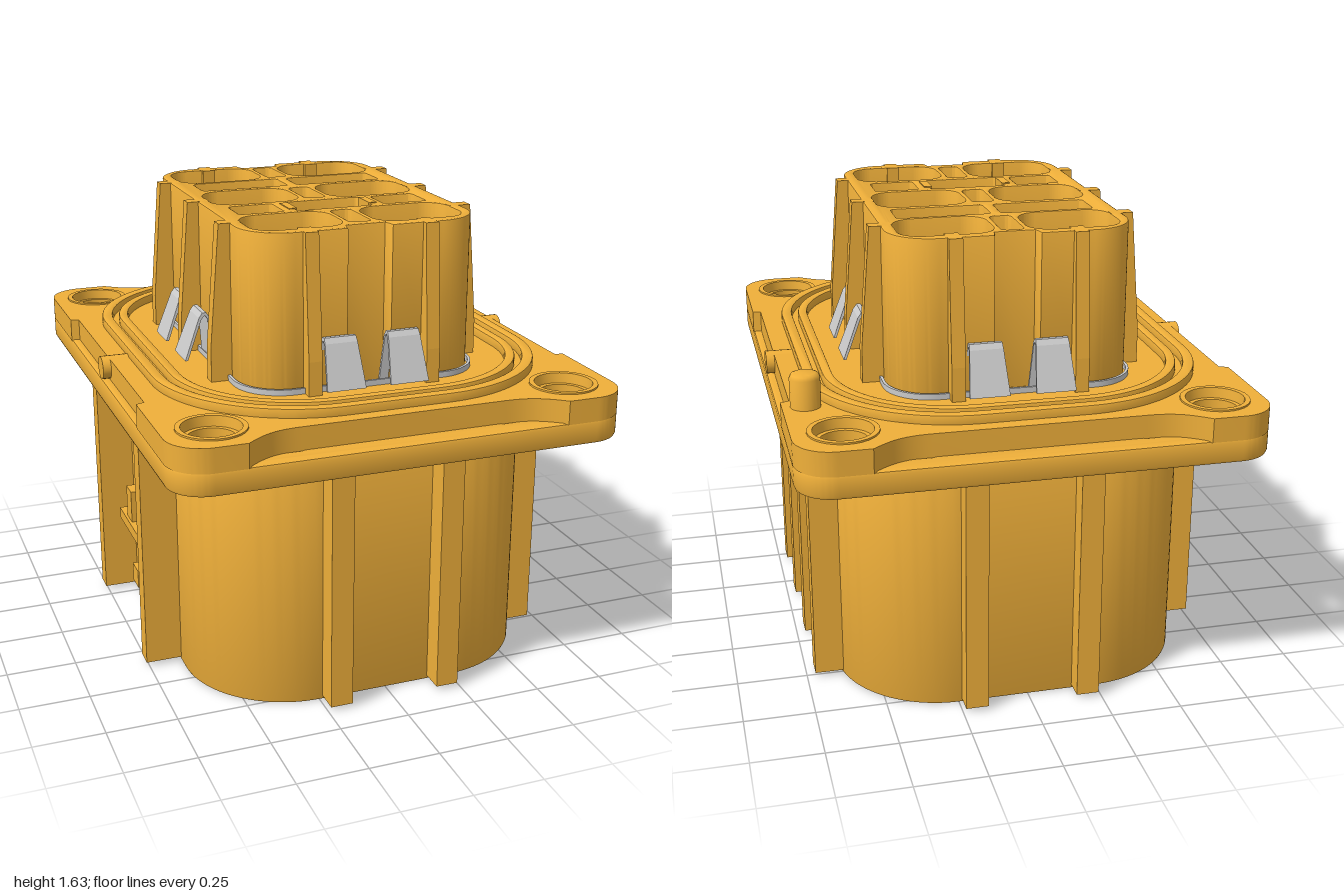
import * as THREE from 'three';
import { toCreasedNormals } from 'three/addons/utils/BufferGeometryUtils.js';

const amber = new THREE.MeshStandardMaterial({ color: 0xf0b03a });
const metal = new THREE.MeshStandardMaterial({ color: 0xcccccc, side: THREE.DoubleSide });

// Rounded rectangle in plan, centred on (x, z), with half sizes a and b
function roundRect(a, b, r, x = 0, z = 0, Type = THREE.Shape) {
  const s = new Type(), y = -z;
  s.moveTo(x + a, y - b + r);
  s.lineTo(x + a, y + b - r);
  s.absarc(x + a - r, y + b - r, r, 0, Math.PI / 2);
  s.absarc(x - a + r, y + b - r, r, Math.PI / 2, Math.PI);
  s.absarc(x - a + r, y - b + r, r, Math.PI, Math.PI * 1.5);
  s.absarc(x + a - r, y - b + r, r, Math.PI * 1.5, Math.PI * 2);
  return s;
}
const hole = (a, b, r, x, z) => roundRect(a, b, r, x, z, THREE.Path);

// Raise a plan shape from y0 to y1, with an optional bevel kept inside the outline
function raise(shape, y0, y1, bevel = 0) {
  const g = new THREE.ExtrudeGeometry(shape, {
    depth: y1 - y0 - 2 * bevel, curveSegments: 14, bevelEnabled: bevel > 0,
    bevelSize: bevel, bevelOffset: -bevel, bevelThickness: bevel, bevelSegments: 2,
  });
  g.rotateX(-Math.PI / 2).translate(0, y0 + bevel, 0);
  return toCreasedNormals(g, 0.6);
}

// Extrude an (outward, height) profile, centred on its width
function sweep(points, width) {
  const g = new THREE.ExtrudeGeometry(new THREE.Shape(points.map(p => new THREE.Vector2(...p))),
    { depth: width, bevelEnabled: false });
  return g.translate(0, 0, -width / 2);
}

export function createModel() {
  const model = new THREE.Group();
  const add = (name, geo, mat = amber, parent = model) => {
    const m = new THREE.Mesh(geo, mat);
    m.name = name;
    parent.add(m);
    return m;
  };
  const box = (name, x0, x1, y0, y1, z0, z1) =>
    add(name, new THREE.BoxGeometry(x1 - x0, y1 - y0, z1 - z0)
      .translate((x0 + x1) / 2, (y0 + y1) / 2, (z0 + z1) / 2));
  const corners = [[1, 1], [1, -1], [-1, 1], [-1, -1]];
  const cells = [-0.44, -0.01, 0.43].flatMap(z => [[-0.22, z], [0.22, z]]);

  // Mounting flange: full lower plate, upper plate relieved along each edge
  const lower = roundRect(0.8, 1, 0.13);
  const upper = new THREE.Shape();
  upper.moveTo(0.77, -0.52);
  upper.lineTo(0.77, 0.52);
  upper.lineTo(0.8, 0.53);
  upper.lineTo(0.8, 0.87);
  upper.absarc(0.67, 0.87, 0.13, 0, Math.PI / 2);
  upper.lineTo(0.56, 1);
  upper.bezierCurveTo(0.5, 0.95, 0.46, 0.92, 0.36, 0.92);
  upper.lineTo(-0.36, 0.92);
  upper.bezierCurveTo(-0.46, 0.92, -0.5, 0.95, -0.56, 1);
  upper.lineTo(-0.67, 1);
  upper.absarc(-0.67, 0.87, 0.13, Math.PI / 2, Math.PI);
  upper.lineTo(-0.8, 0.53);
  upper.lineTo(-0.77, 0.52);
  upper.lineTo(-0.77, -0.52);
  upper.lineTo(-0.8, -0.53);
  upper.lineTo(-0.8, -0.87);
  upper.absarc(-0.67, -0.87, 0.13, Math.PI, Math.PI * 1.5);
  upper.lineTo(-0.56, -1);
  upper.bezierCurveTo(-0.5, -0.95, -0.46, -0.92, -0.36, -0.92);
  upper.lineTo(0.36, -0.92);
  upper.bezierCurveTo(0.46, -0.92, 0.5, -0.95, 0.56, -1);
  upper.lineTo(0.67, -1);
  upper.absarc(0.67, -0.87, 0.13, Math.PI * 1.5, Math.PI * 2);
  upper.lineTo(0.8, -0.53);
  for (const [sx, sz] of corners) {
    for (const s of [lower, upper]) {
      s.holes.push(new THREE.Path().absarc(sx * 0.63, sz * 0.83, 0.115, 0, Math.PI * 2));
    }
    // Small pockets in the underside
    lower.holes.push(hole(0.045, 0.028, 0.005, sx * 0.4, sz * 0.885));
  }
  for (const [x, z] of cells) upper.holes.push(hole(0.165, 0.125, 0.08, x, z));
  add('flangeLower', raise(lower, 0.915, 1.0, 0.012));
  add('flangeUpper', raise(upper, 0.995, 1.08));

  // Stepped bushings in the bolt holes
  const bush = [[0.08, 0.915], [0.118, 0.915], [0.118, 1.086], [0.1, 1.086], [0.096, 1.05],
    [0.08, 1.05], [0.08, 0.915]].map(p => new THREE.Vector2(...p));
  for (const [sx, sz] of corners) {
    add('boltHole', toCreasedNormals(new THREE.LatheGeometry(bush, 32), 0.5))
      .position.set(sx * 0.63, 0, sz * 0.83);
  }

  // Oval rims with a seal groove between them
  const band = (o, i, length, r, y0, y1, bevel) => {
    const s = roundRect(o, o + length, r);
    s.holes.push(hole(i, i + length, r - o + i));
    return raise(s, y0, y1, bevel);
  };
  add('outerRim', band(0.7, 0.66, 0.17, 0.52, 1.06, 1.112, 0.006));
  add('innerRim', band(0.635, 0.6, 0.17, 0.455, 1.06, 1.112, 0.006));

  // Lower shell, open underneath, with vertical ribs
  add('shell', band(0.63, 0.59, 0.17, 0.38, 0.005, 0.93, 0.008));
  for (const z of [-0.475, -0.16, 0.16, 0.475]) {
    box('leftRib', 0.6, 0.72, 0.02, 0.93, z - 0.04, z + 0.04);
  }
  for (const z of [-0.33, 0.33]) box('rightRib', -0.76, -0.6, 0.02, 0.93, z - 0.035, z + 0.035);
  for (const x of [-0.2, 0.2]) {
    box('frontRib', x - 0.04, x + 0.04, 0.02, 0.93, 0.77, 0.885);
    box('backRib', x - 0.04, x + 0.04, 0.02, 0.93, -0.87, -0.77);
  }

  // Small retaining bracket on the right wall
  box('bracketShelf', -0.74, -0.61, 0.42, 0.46, -0.06, 0.22);
  box('bracketPost', -0.73, -0.68, 0.46, 0.58, 0.02, 0.09);
  box('bracketFoot', -0.7, -0.61, 0.15, 0.22, -0.06, 0.02);
  box('bracketHook', -0.72, -0.61, 0.18, 0.34, 0.2, 0.25);

  // Locating pin and side ridges
  add('locatingPin', toCreasedNormals(new THREE.LatheGeometry(
    [[0, 0.99], [0.052, 0.99], [0.052, 1.182], [0.046, 1.194], [0.036, 1.198], [0, 1.198]]
      .map(p => new THREE.Vector2(...p)), 24), 0.9)).position.set(0.72, 0, -0.58);
  for (const s of [-1, 1]) {
    add('sideRidge', new THREE.CylinderGeometry(0.042, 0.042, 0.13, 20).rotateZ(Math.PI / 2))
      .position.set(s * 0.735, 1.045, 0);
  }

  // Contact tower: rounded block, notched at front and back, with its openings
  const tower = new THREE.Shape();
  const [a, b, r] = [0.425, 0.605, 0.16];
  tower.moveTo(a, -b + r);
  tower.absarc(a - r, b - r, r, 0, Math.PI / 2);
  for (const p of [[0.08, b], [0.07, 0.56], [-0.07, 0.56], [-0.08, b]]) tower.lineTo(...p);
  tower.absarc(-a + r, b - r, r, Math.PI / 2, Math.PI);
  tower.absarc(-a + r, -b + r, r, Math.PI, Math.PI * 1.5);
  for (const p of [[-0.08, -b], [-0.07, -0.56], [0.07, -0.56], [0.08, -b]]) tower.lineTo(...p);
  tower.absarc(a - r, -b + r, r, Math.PI * 1.5, Math.PI * 2);
  for (const [x, z] of cells) tower.holes.push(hole(0.163, 0.124, 0.08, x, z));
  for (const z of [-0.44, -0.01, 0.42]) tower.holes.push(hole(0.038, 0.1, 0.02, 0, z));
  // Pockets as x, z, half width, half depth, floor height
  const pockets = [[-0.185, -0.23, 0.165, 0.068, 1.35], [0.185, -0.23, 0.165, 0.068, 1.35],
    [-0.27, 0.21, 0.08, 0.068, 1.35], [0.27, 0.21, 0.08, 0.068, 1.35], [0, 0.21, 0.14, 0.074, 1.5]];
  for (const [x, z, w, d, y] of pockets) {
    tower.holes.push(hole(w, d, 0.015, x, z));
    box('pocketFloor', x - w - 0.005, x + w + 0.005, y - 0.04, y, z - d - 0.005, z + d + 0.005);
  }
  add('tower', raise(tower, 1.0, 1.632, 0.006));
  for (const s of [-1, 1]) box('latchTab', s * 0.15 - 0.015, s * 0.15 + 0.015, 1.5, 1.635, 0.16, 0.26);

  // Cell liners above, hanging sleeves below
  for (const [x, z] of cells) {
    const liner = roundRect(0.164, 0.125, 0.08, x, z);
    liner.holes.push(hole(0.14, 0.118, 0.115, x, z));
    add('cellLiner', raise(liner, 1.0, 1.42));
    const sleeve = roundRect(0.19, 0.15, 0.1, x, z);
    sleeve.holes.push(hole(0.163, 0.124, 0.08, x, z));
    add('lowerSleeve', raise(sleeve, 0.17, 0.93, 0.006));
  }
  box('lowerSpine', -0.035, 0.035, 0.3, 0.93, -0.5, 0.5);
  for (const z of [-0.23, 0.21]) box('lowerWeb', -0.36, 0.36, 0.35, 0.93, z - 0.025, z + 0.025);
  const latch = roundRect(0.15, 0.08, 0.015, 0, 0.21);
  for (const x of [-0.07, 0.07]) latch.holes.push(hole(0.05, 0.045, 0.01, x, 0.21));
  add('lowerLatch', raise(latch, 0.18, 0.6));

  // Metal screen around the lower sleeves
  const screen = roundRect(0.44, 0.625, 0.17);
  screen.holes.push(hole(0.43, 0.615, 0.16));
  add('screen', raise(screen, 0.22, 1.1), metal);

  // Tower guide ribs and folded spring fingers, placed around the tower
  const ribProfile = [[-0.04, 1.07], [0.075, 1.07], [0.075, 1.2], [0.04, 1.632], [-0.04, 1.632]];
  const ribGeo = sweep(ribProfile, 0.048);
  const springGeo = sweep([[0.0, 1.08], [0.015, 1.25], [0.027, 1.268], [0.042, 1.268], [0.055, 1.25],
    [0.112, 1.1], [0.102, 1.1], [0.046, 1.245], [0.036, 1.256], [0.03, 1.256], [0.024, 1.245],
    [0.01, 1.08]], 0.14);
  const sp = springGeo.attributes.position;
  for (let i = 0; i < sp.count; i++) sp.setZ(i, sp.getZ(i) * (1 - (sp.getY(i) - 1.1) * 1.1));
  springGeo.computeVertexNormals();
  const place = (name, geo, mat, angle, out, along) => {
    const side = new THREE.Group();
    side.rotation.y = angle;
    side.name = name + 'Mount';
    add(name, geo, mat, side).position.set(out, 0, along);
    model.add(side);
  };
  for (const angle of [0, Math.PI]) {
    for (const z of [-0.375, 0, 0.375]) place('towerSideRib', ribGeo, amber, angle, 0.425, z);
    for (const z of [-0.13, 0.13]) place('sideSpring', springGeo, metal, angle, 0.425, z);
  }
  for (const angle of [Math.PI / 2, -Math.PI / 2]) {
    for (const x of [-0.215, 0.215]) place('towerEndRib', ribGeo, amber, angle, 0.585, x);
    for (const x of [-0.115, 0.115]) place('endSpring', springGeo, metal, angle, 0.583, x);
  }
  return model;
}
